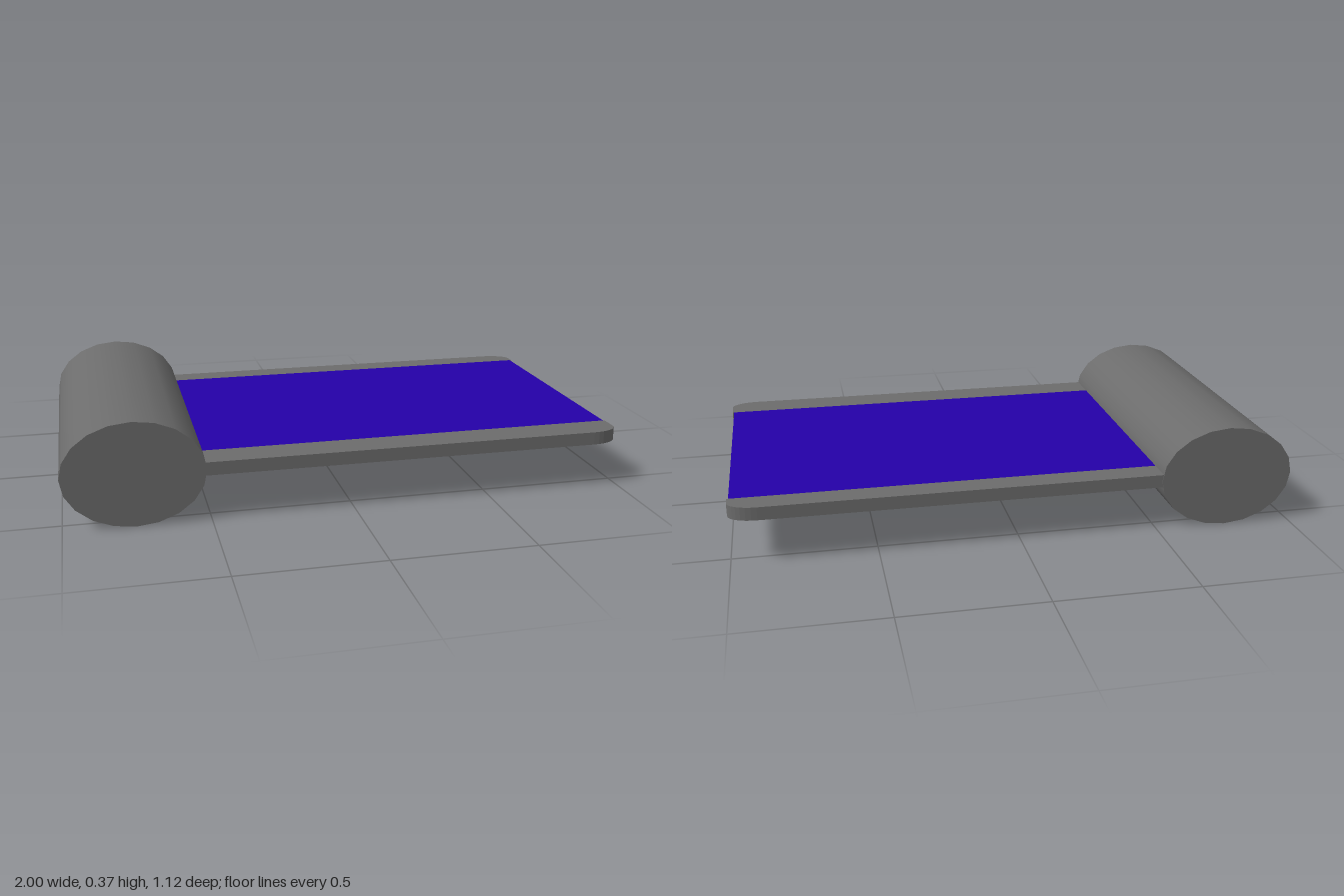
import * as THREE from 'three';

const BOTTOM = 0.162, THICK = 0.047, INNER = -0.756;

export function createModel() {
  const model = new THREE.Group();
  const grey = new THREE.MeshStandardMaterial({ color: 0x6c6c6c });
  const blue = new THREE.MeshStandardMaterial({ color: 0x2400a8 });

  const add = (name, geometry, material) => {
    const mesh = new THREE.Mesh(geometry, material);
    mesh.name = name;
    model.add(mesh);
  };

  // Oval roll along z at the right-hand end
  const roll = new THREE.CylinderGeometry(1, 1, 1.12, 20);
  roll.rotateX(Math.PI / 2);
  roll.scale(0.244, 0.185, 1);
  roll.translate(INNER, 0.185, 0);
  add('roll', roll, grey);

  // Flat sheet running out of the roll
  const sheet = new THREE.BoxGeometry(0.994 - INNER, THICK, 0.904);
  sheet.translate((0.994 + INNER) / 2, BOTTOM + THICK / 2, -0.015);
  add('sheet', sheet, blue);

  // Edge rails with a rounded outer corner; plan drawn in (x, -z)
  const rail = (name, side, inner, outer) => {
    const plan = new THREE.Shape();
    plan.moveTo(INNER, side * inner);
    plan.lineTo(1, side * inner);
    plan.lineTo(1, side * (outer - 0.055));
    plan.bezierCurveTo(1, side * (outer - 0.025), 0.955, side * outer, 0.9, side * outer);
    plan.lineTo(INNER, side * outer);
    plan.closePath();
    const geometry = new THREE.ExtrudeGeometry(plan, { depth: THICK, bevelEnabled: false, curveSegments: 8 });
    geometry.rotateX(-Math.PI / 2);
    geometry.translate(0, BOTTOM, 0);
    add(name, geometry, grey);
  };
  rail('frontRail', -1, 0.437, 0.559);
  rail('backRail', 1, 0.467, 0.558);

  return model;
}
